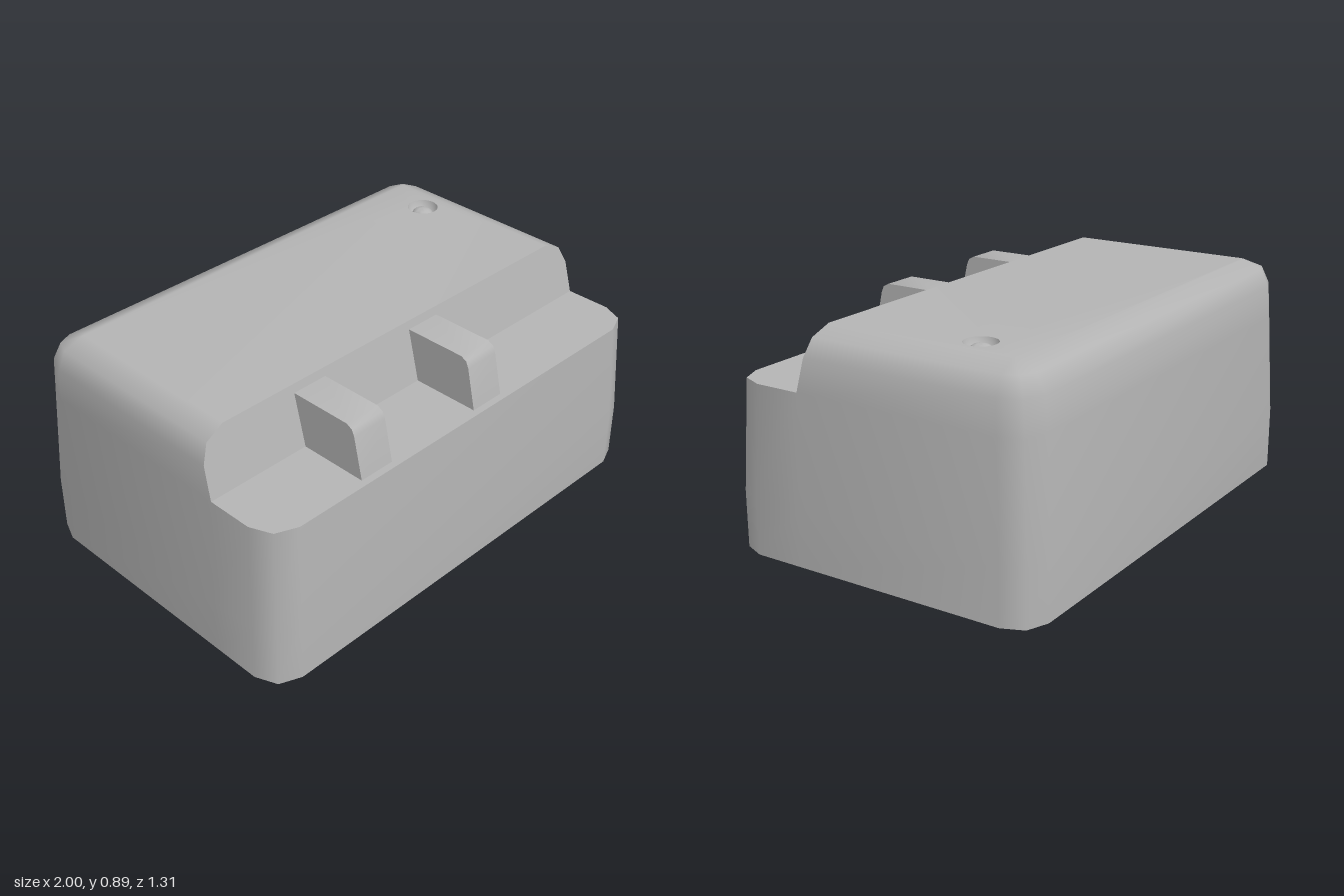
import * as THREE from 'three';
import { mergeGeometries, toCreasedNormals } from 'three/addons/utils/BufferGeometryUtils.js';

const SHELF = 0.66, TOP = 0.895;
const button = { x: 0.765, z: -0.31, r: 0.063 };

// Front edge of the raised rear block at height y (a leaning wall)
const wallZ = (y) => 0.33 - Math.max(0, y - SHELF) * 0.06 / (TOP - SHELF);

// Horizontal section, counter-clockwise from above; r is the corner radius.
// Points 0-7 bound the rear, points 8-13 the front.
function section(y, x, z, r, withFront) {
  const s = wallZ(y), k = r * (1 - Math.SQRT1_2);
  const rear = [[x, s], [x, -z + r], [x - k, -z + k], [x - r, -z],
    [-x + r, -z], [-x + k, -z + k], [-x, -z + r], [-x, s]];
  const front = [[-x, z - r], [-x + k, z - k], [-x + r, z],
    [x - r, z], [x - k, z - k], [x, z - r]];
  return (withFront ? rear.concat(front) : rear).map(([px, pz]) => [px, y, pz]);
}

function triangles(list) {
  const g = new THREE.BufferGeometry();
  g.setAttribute('position', new THREE.Float32BufferAttribute(list.flat(), 3));
  return g;
}

// Side walls between successive sections
function skin(rings) {
  const out = [];
  for (let j = 0; j + 1 < rings.length; j++) {
    const lo = rings[j], hi = rings[j + 1], n = lo.length;
    for (let i = 0; i < n; i++) {
      const m = (i + 1) % n;
      out.push(lo[i], lo[m], hi[m], lo[i], hi[m], hi[i]);
    }
  }
  return out;
}

function fan(points) {
  const out = [];
  for (let i = 1; i + 1 < points.length; i++) out.push(points[0], points[i], points[i + 1]);
  return out;
}

function bodyGeometry() {
  const lower = [
    section(0, 1, 0.655, 0.12, true),
    section(0.225, 1, 0.655, 0.12, true),
    section(SHELF, 0.978, 0.635, 0.12, true),
  ];
  const upper = [
    section(SHELF, 0.978, 0.635, 0.12, false),
    section(0.79, 0.972, 0.625, 0.115, false),
    section(0.86, 0.94, 0.59, 0.08, false),
    section(TOP, 0.86, 0.51, 0.01, false),
  ];
  const shelf = [...lower[2].slice(7), lower[2][0]];

  // Top face with a round opening for the button
  const lid = new THREE.Shape(upper[3].map((p) => new THREE.Vector2(p[0], -p[2])));
  lid.holes.push(new THREE.Path().absarc(button.x, -button.z, button.r, 0, Math.PI * 2, true));
  const lidGeo = new THREE.ShapeGeometry(lid, 12).rotateX(-Math.PI / 2).translate(0, TOP, 0).toNonIndexed();
  lidGeo.deleteAttribute('normal');
  lidGeo.deleteAttribute('uv');

  const shell = triangles([...skin(lower), ...skin(upper), ...fan(shelf), ...fan([...lower[0]].reverse())]);
  return toCreasedNormals(mergeGeometries([shell, lidGeo]), 1.0);
}

// Recess wall and the domed button inside it, as one turned profile
function buttonGeometry() {
  const profile = [[button.r, TOP], [0.053, 0.865], [0.045, 0.86]];
  for (let i = 1; i <= 5; i++) {
    const a = i / 5 * Math.PI / 2;
    profile.push([0.045 * Math.cos(a), 0.86 + 0.03 * Math.sin(a)]);
  }
  const g = new THREE.LatheGeometry(profile.map(([x, y]) => new THREE.Vector2(Math.max(x, 0), y)), 24);
  return toCreasedNormals(g, 0.8);
}

// Upright lug: side profile (z, y) extruded across x
function lugGeometry() {
  const outline = [[0.607, SHELF], [0.57, 0.825], [0.559, 0.85], [0.535, 0.863], [0.278, 0.863], [0.33, SHELF]];
  const shape = new THREE.Shape(outline.map(([z, y]) => new THREE.Vector2(-z, y)));
  const g = new THREE.ExtrudeGeometry(shape, { depth: 0.15, bevelEnabled: false });
  return toCreasedNormals(g.rotateY(Math.PI / 2), 0.9);
}

export function createModel() {
  const group = new THREE.Group();
  const grey = new THREE.MeshStandardMaterial({ color: 0xb4b4b4 });
  grey.name = 'plainGrey';

  const add = (name, geometry, x = 0, y = 0, z = 0) => {
    const mesh = new THREE.Mesh(geometry, grey);
    mesh.name = name;
    mesh.position.set(x, y, z);
    group.add(mesh);
  };

  add('body', bodyGeometry());
  add('button', buttonGeometry(), button.x, 0, button.z);
  const lug = lugGeometry();
  add('rightLug', lug, -0.54);
  add('leftLug', lug, 0.045);
  return group;
}
